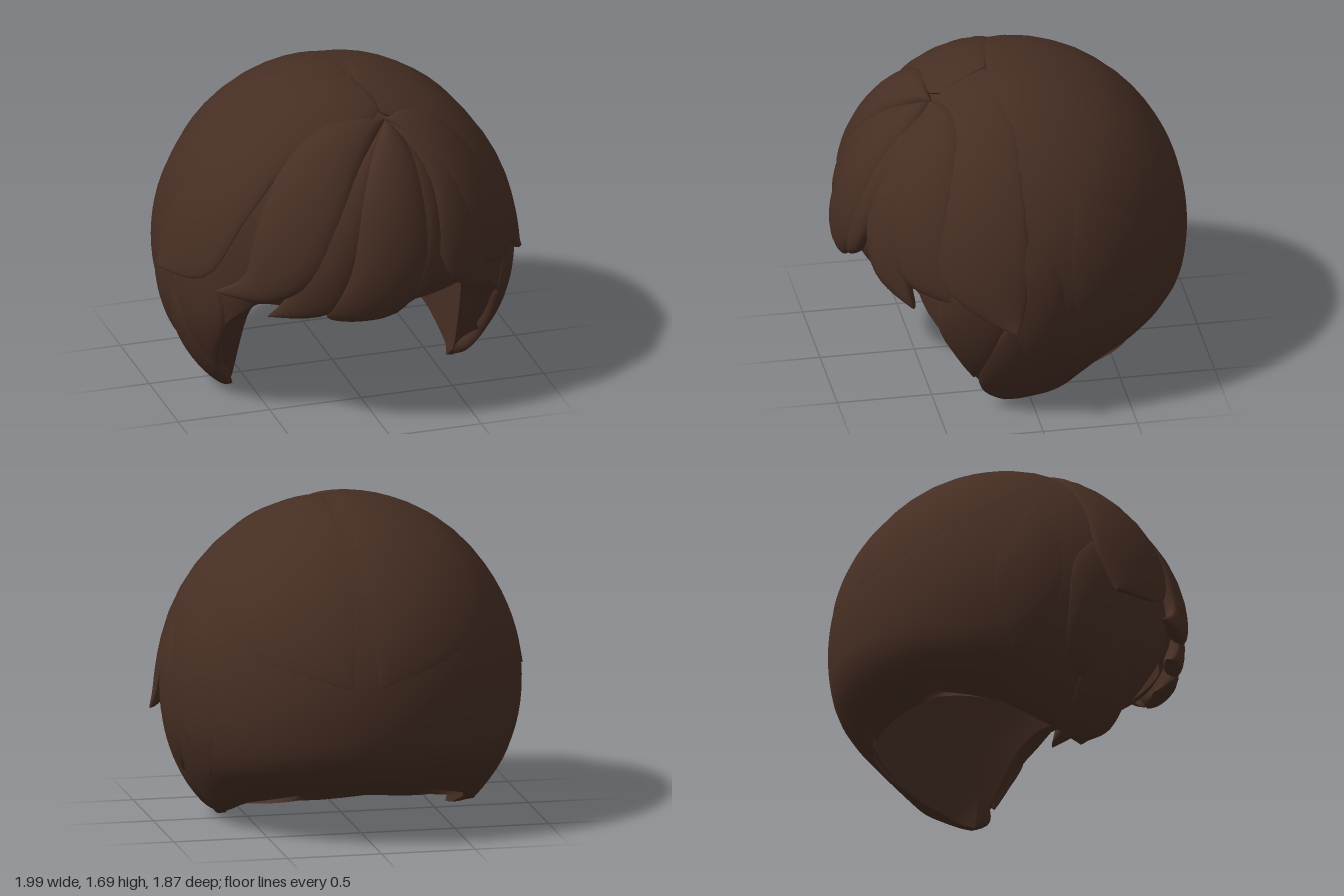
import * as THREE from 'three';
import { toCreasedNormals } from 'three/addons/utils/BufferGeometryUtils.js';

const CY = 0.72, RX = 0.94, RY = 0.97, RZ = 0.93; // head ellipsoid

// Closed-around grid: rows run downwards, columns run counter-clockwise
function grid(rows, cols, fn) {
  const pos = [], idx = [];
  for (let i = 0; i <= rows; i++)
    for (let j = 0; j < cols; j++) pos.push(...fn(i / rows, j / cols));
  for (let i = 0; i < rows; i++)
    for (let j = 0; j < cols; j++) {
      const n = (j + 1) % cols;
      const a = i * cols + j, b = a + cols, c = (i + 1) * cols + n, d = i * cols + n;
      idx.push(a, b, d, b, c, d);
    }
  const g = new THREE.BufferGeometry();
  g.setAttribute('position', new THREE.Float32BufferAttribute(pos, 3));
  g.setIndex(idx);
  return toCreasedNormals(g, 0.9);
}

const smooth = (x, a, b) => THREE.MathUtils.smoothstep(x, a, b);

// Height of the lower edge by angle from the front
const RIM = [[0, .66], [46, .66], [53, .58], [58, .48], [68, .2], [73, .08], [78, .005],
  [84, .015], [90, .04], [105, .09], [120, .155], [150, .245], [180, .27]];
function rimHeight(deg) {
  let i = 0;
  while (i < RIM.length - 2 && deg > RIM[i + 1][0]) i++;
  const [a, h] = RIM[i], [b, k] = RIM[i + 1];
  return h + (k - h) * (deg - a) / (b - a);
}

// Cap with outer skin, rounded lower edge and hollow inside
function capGeometry() {
  return grid(60, 120, (v, w) => {
    const az = w * Math.PI * 2, s = Math.sin(az), c = Math.cos(az);
    const deg = Math.min(w, 1 - w) * 360, h = rimHeight(deg);
    const front = 0.93 + 0.07 * smooth(deg, 42, 62);
    const bevel = 0.14 * smooth(deg, 95, 125) + 0.08 * (1 - smooth(deg, 40, 52));
    const outer = y => Math.sqrt(Math.max(0, 1 - ((y - CY) / RY) ** 2)) * front;
    if (v <= 0.6) {
      const t = v / 0.6, phi = t * Math.acos((h - CY) / RY);
      const y = CY + RY * Math.cos(phi);
      const r = outer(y) * (1 - bevel * Math.max(0, (t - 0.86) / 0.14) ** 2);
      return [RX * r * s, y, RZ * r * c];
    }
    const t = (v - 0.6 - 1 / 60) / (0.4 - 1 / 60);
    const h0 = h - 0.03 * smooth(deg, 110, 160);
    const y = h0 + (1.5 - h0) * Math.sin(t * Math.PI / 2);
    const dome = y < 0.6 ? 1 : Math.sqrt(Math.max(0, 1 - ((y - 0.6) / 0.9) ** 2));
    const b = c > 0 ? 0.77 : 0.64;
    const hollow = (Math.abs(s / 0.61) ** 3 + Math.abs(c / b) ** 3) ** (-1 / 3) * dome;
    const r = Math.min(hollow, outer(y) * RZ * 0.95);
    return [r * s, y, r * c];
  });
}

// Lock of hair lying on the head between a left and a right edge, seen from outside;
// puff swells it near the root, flare turns the tip out (or in when negative)
function lockGeometry(left, right, { base = 0, lift = 0.03, puff = 0, flare = 0, bend = 4 }) {
  const curve = pts => new THREE.CatmullRomCurve3(pts.map(p => new THREE.Vector3(...p)));
  const L = curve(left), R = curve(right);
  return grid(28, 24, (v, w) => {
    const t = (1 - Math.cos(v * Math.PI)) / 2, a = w * Math.PI * 2;
    const p = L.getPoint(t).lerp(R.getPoint(t), (1 - Math.cos(a)) / 2);
    const env = Math.max(0, Math.sin(Math.PI * t)) ** 0.4, h = Math.sin(a);
    const k = 1 + base + flare * t ** bend + env * h * (h > 0 ? lift + puff * (1 - t) : 0.1);
    const len = Math.hypot(p.x / RX, (p.y - CY) / RY, p.z / RZ);
    return [p.x * k / len, CY + (p.y - CY) * k / len, p.z * k / len];
  });
}

// Points on the head given in the front plane or the side plane
const onFront = ([x, y]) =>
  [x, y, RZ * Math.sqrt(Math.max(0.02, 1 - (x / RX) ** 2 - ((y - CY) / RY) ** 2))];
const onSide = s => ([z, y]) =>
  [s * RX * Math.sqrt(Math.max(0.02, 1 - (z / RZ) ** 2 - ((y - CY) / RY) ** 2)), y, z];

export function createModel() {
  const group = new THREE.Group();
  group.name = 'hair';
  const brown = new THREE.MeshStandardMaterial({ color: 0x462e23 });
  brown.name = 'dark brown';
  const add = (name, geo) => {
    const m = new THREE.Mesh(geo, brown);
    m.name = name;
    group.add(m);
  };

  add('cap', capGeometry());

  // Fringe: [name, left edge, right edge, options], fanning from the parting
  const root = [0.15, 1.56];
  const fringe = [
    ['fringeCentre', [root, [0, 1.43], [-.13, 1.2], [-.2, .9], [-.31, .66], [-.22, .6]],
      [root, [.25, 1.45], [.29, 1.2], [.26, .9], [.1, .66], [-.22, .6]],
      { base: -.03, lift: .03, puff: .075, flare: -.09, bend: 8 }],
    ['fringeCurl', [root, [.17, 1.35], [.2, 1.1], [.14, .8], [.04, .62]],
      [root, [.33, 1.4], [.37, 1.08], [.28, .78], [.04, .62]],
      { base: -.045, lift: .03, puff: .05, flare: -.06, bend: 8 }],
    ['fringeRightInner', [root, [-.25, 1.25], [-.44, .92], [-.52, .74], [-.6, .62]],
      [root, [-.03, 1.2], [-.15, .9], [-.27, .69], [-.6, .62]],
      { base: -.035, lift: .03, puff: .04, flare: -.02 }],
    ['fringeRightOuter', [root, [-.2, 1.56], [-.42, 1.42], [-.62, 1.08], [-.68, .86], [-.8, .72]],
      [root, [-.05, 1.4], [-.2, 1.15], [-.36, .88], [-.55, .74], [-.8, .72]],
      { base: -.015, lift: .03, puff: .055, flare: .015 }],
    ['fringeLeftInner', [root, [.29, 1.3], [.34, .98], [.45, .74], [.67, .6]],
      [root, [.42, 1.45], [.58, 1.15], [.64, .85], [.67, .6]],
      { base: -.035, lift: .035, puff: .05 }],
    ['fringeLeftOuter', [root, [.35, 1.35], [.5, 1.05], [.64, .78], [.83, .7]],
      [root, [.27, 1.57], [.43, 1.51], [.63, 1.31], [.77, 1.0], [.83, .7]],
      { base: -.015, lift: .03, puff: .045, flare: .01 }],
  ];
  for (const [name, l, r, o] of fringe) add(name, lockGeometry(l.map(onFront), r.map(onFront), o));

  // Long swept locks over both temples
  const top = [.06, 1.67, .13];
  add('templeLockRight', lockGeometry(
    [top, [-.4, 1.5, .03], [-.7, 1.2, .03], [-.88, .95, .03], [-1, .73, .12]],
    [top, [.13, 1.58, .4], [-.3, 1.45, .48], [-.62, 1.1, .52], [-.8, .8, .45], [-1, .73, .12]],
    { lift: .025, flare: .065 }));
  add('templeLockLeft', lockGeometry(
    [top, [.14, 1.58, .4], [.4, 1.5, .4], [.65, 1.2, .47], [.75, .85, .5], [.9, .65, .28], [.99, .58, .13]],
    [top, [.3, 1.6, .06], [.65, 1.25, .05], [.88, .9, .06], [.95, .7, .09], [.99, .58, .13]],
    { base: -.005, lift: .02, flare: .078 }));

  // Side locks as [z, y]: front edge, back edge
  const sides = [
    ['earLock', [[.1, 1.1], [.17, .8], [.16, .5], [.1, .33], [0, .25]],
      [[.1, 1.1], [-.1, .9], [-.14, .6], [-.12, .38], [0, .25]], { base: -.01, lift: .03 }],
    ['cheekLock', [[.35, .95], [.5, .75], [.52, .55], [.42, .35], [.32, .2]],
      [[.35, .95], [.2, .8], [.18, .6], [.2, .4], [.32, .2]], { base: -.015, lift: .03 }],
    ['sideburn', [[.15, .65], [.28, .4], [.3, .22], [.25, .08], [.14, .01]],
      [[.15, .65], [.02, .4], [-.03, .22], [0, .1], [.14, .01]], { base: -.01, lift: .035 }],
    ['flankLock', [[-.2, 1.3], [-.14, .9], [-.2, .55], [-.35, .3]],
      [[-.2, 1.3], [-.5, .9], [-.5, .55], [-.35, .3]], { base: -.008, lift: .016 }],
  ];
  for (const s of [1, -1]) {
    const side = s > 0 ? 'Left' : 'Right';
    for (const [name, f, b, o] of sides) {
      const F = f.map(onSide(s)), B = b.map(onSide(s));
      add(name + side, s > 0 ? lockGeometry(F, B, o) : lockGeometry(B, F, o));
    }
    // Crown sections meeting at the parting line
    const edge = pts => pts.map(([x, y, z]) => [0.06 + s * x, y, z]);
    const outer = edge([[.02, 1.6, .25], [.4, 1.5, .1], [.7, 1.2, -.3], [.55, 1, -.7], [.06, .85, -.9]]);
    const inner = edge([[.02, 1.6, .25], [.01, 1.68, 0], [.01, 1.6, -.4], [.02, 1.3, -.75], [.06, .85, -.9]]);
    const o = { base: -.004, lift: .014 };
    add('crown' + side, s > 0 ? lockGeometry(outer, inner, o) : lockGeometry(inner, outer, o));
  }
  return group;
}
